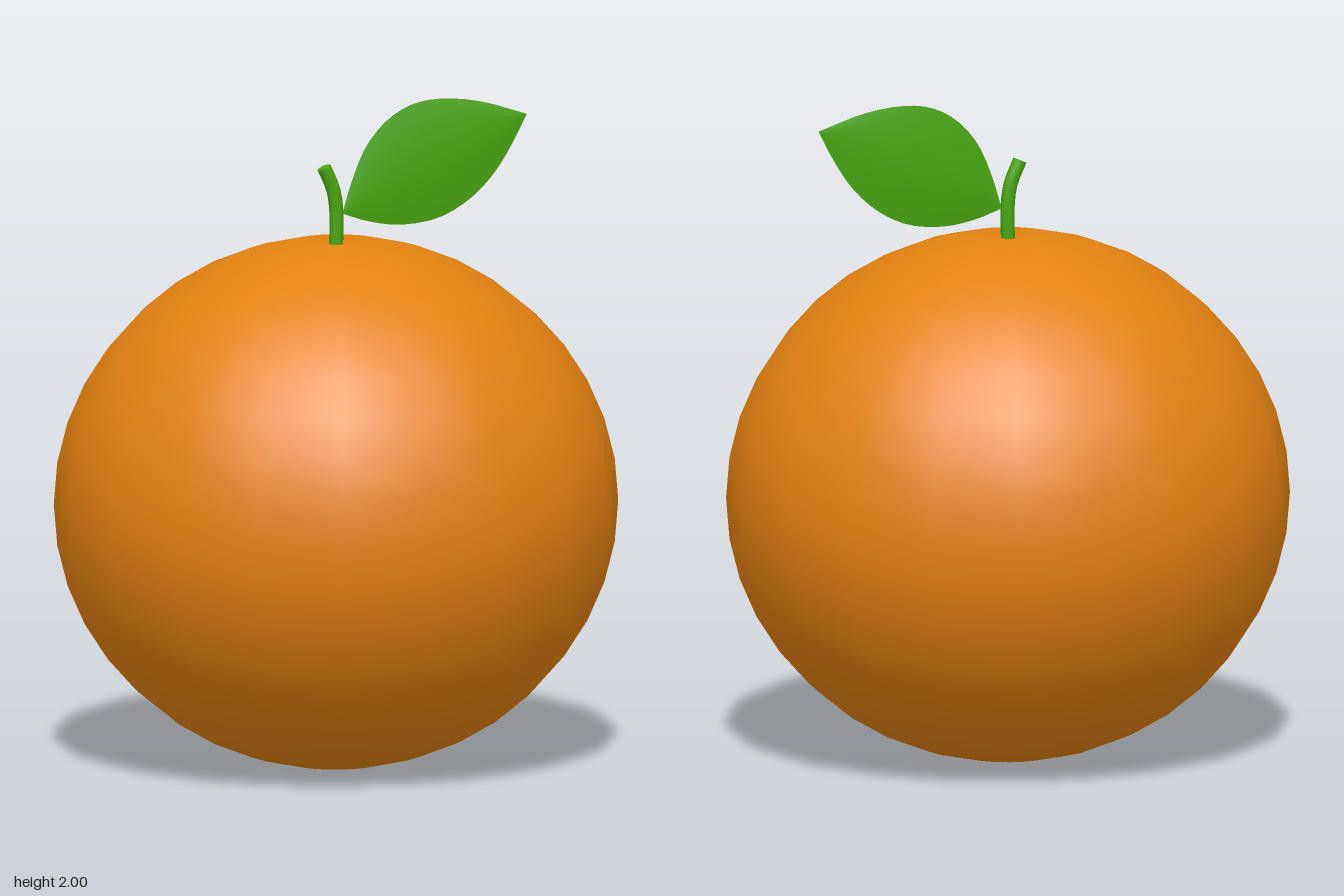
import * as THREE from 'three';

const material = (name, color, extra = {}) => {
  const m = new THREE.MeshStandardMaterial({ color, ...extra });
  m.name = name;
  return m;
};

const curve = (points) =>
  new THREE.CatmullRomCurve3(points.map(([x, y]) => new THREE.Vector3(x, y, 0)));

// Slightly oval sphere with a shallow dimple where the stem sits
function fruitGeometry() {
  const g = new THREE.SphereGeometry(1, 20, 20);
  g.scale(0.845, 0.797, 0.81);
  g.translate(0, 0.802, 0);
  const p = g.attributes.position;
  for (let i = 0; i < p.count; i++) {
    if (p.getY(i) > 1.595) p.setY(i, 1.578);
  }
  return g;
}

// One domed face of the leaf, lofted between its upper and lower edges
function leafFace(side) {
  const upper = curve([[0.02, 1.67], [0.055, 1.78], [0.1, 1.875], [0.17, 1.95], [0.25, 1.99],
    [0.34, 2], [0.46, 1.985], [0.605, 1.94]]);
  const lower = curve([[0.02, 1.67], [0.1, 1.643], [0.2, 1.627], [0.32, 1.64], [0.42, 1.69],
    [0.5, 1.765], [0.56, 1.855], [0.605, 1.94]]);
  const g = new THREE.PlaneGeometry(1, 1, 20, 6);
  const p = g.attributes.position;
  for (let i = 0; i < p.count; i++) {
    const u = p.getX(i) + 0.5;
    const v = p.getY(i) + 0.5;
    const q = lower.getPoint(u).lerp(upper.getPoint(u), v);
    const bulge = 0.016 * Math.sin(Math.PI * u) * (1 - (2 * v - 1) ** 2);
    p.setXYZ(i, q.x, q.y, side * bulge);
  }
  if (side < 0) g.setIndex(Array.from(g.index.array).reverse());
  g.computeVertexNormals();
  return g;
}

export function createModel() {
  const model = new THREE.Group();
  const peel = material('orange peel', 0xe48110);
  const green = material('leaf green', 0x48a511);

  const add = (name, geometry, mat, parent = model) => {
    const mesh = new THREE.Mesh(geometry, mat);
    mesh.name = name;
    parent.add(mesh);
    return mesh;
  };

  add('fruit', fruitGeometry(), peel);

  // Curved stem with a flat cut end
  const stem = new THREE.Group();
  stem.name = 'stem';
  model.add(stem);
  const path = curve([[0, 1.56], [0.001, 1.68], [-0.009, 1.745], [-0.038, 1.812]]);
  add('stalk', new THREE.TubeGeometry(path, 10, 0.021, 10), green, stem);
  const cap = add('stalkEnd', new THREE.CircleGeometry(0.021, 10), green, stem);
  cap.position.copy(path.getPoint(1));
  cap.quaternion.setFromUnitVectors(new THREE.Vector3(0, 0, 1), path.getTangent(1));

  // Leaf: two domed faces meeting at a sharp rim
  const leaf = new THREE.Group();
  leaf.name = 'leaf';
  model.add(leaf);
  add('leafFront', leafFace(1), green, leaf);
  add('leafBack', leafFace(-1), green, leaf);

  return model;
}
